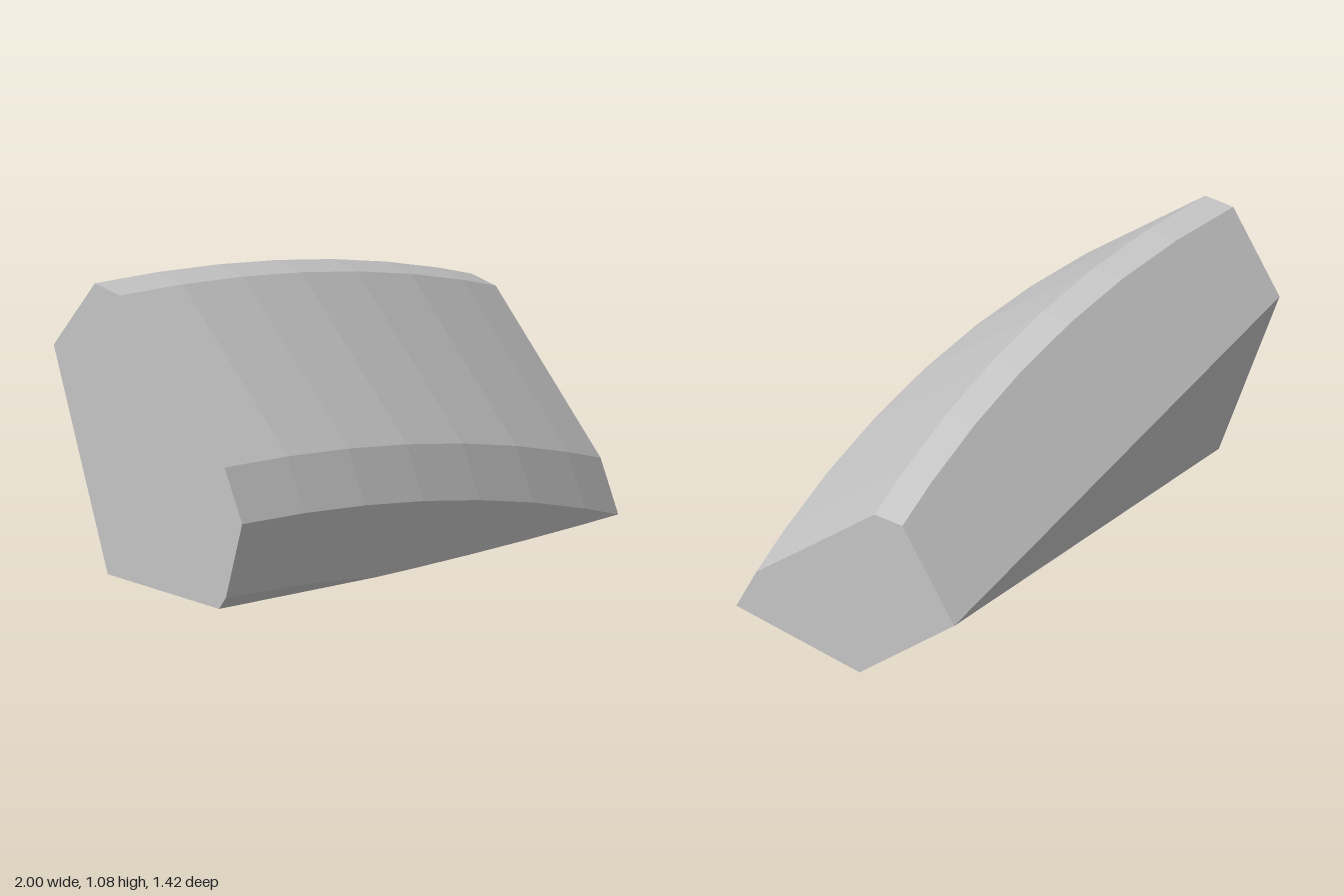
import * as THREE from 'three';

// Cross-section at the x = -1 end as [z, y], from top back edge round to the lower front
const PROFILE = [[-0.145, 1.083], [0, 1.066], [0.612, 0.54], [0.715, 0.347]];
const LOW = [0.62, 0.05], TOE = [0.58, 0];
const DROP = 0.347, RETREAT = 0.297; // how far the section has sunk and moved back at x = 1

const lerp = THREE.MathUtils.lerp;
const bend = x => ((x + 1) / 2) ** 2;

// Closed ring of points at one station; the base is trimmed at y = 0
function ring(x, s) {
  const at = ([z, y]) => new THREE.Vector3(x, Math.max(0, y - DROP * s), z - RETREAT * s);
  const t = (x + 1) / 2;
  const h = DROP * s; // ground height in profile coordinates
  const front = PROFILE[3];
  const cut = h < LOW[1]
    ? [lerp(TOE[0], LOW[0], h / LOW[1]), h]
    : [lerp(LOW[0], front[0], (h - LOW[1]) / (front[1] - LOW[1])), h];
  const back = new THREE.Vector3(x, lerp(0.803, 0.423, t), lerp(-0.385, -0.71, t));
  const heel = new THREE.Vector3(x, 0, lerp(-0.07, -0.22, t));
  return [back, ...PROFILE.map(at), at(h < LOW[1] ? LOW : cut), at(cut), heel];
}

function surface(name, material, triangles) {
  const geometry = new THREE.BufferGeometry().setFromPoints(triangles);
  geometry.computeVertexNormals();
  const mesh = new THREE.Mesh(geometry, material);
  mesh.name = name;
  return mesh;
}

export function createModel() {
  const group = new THREE.Group();
  group.name = 'curvedBlock';
  const grey = new THREE.MeshStandardMaterial({ color: 0xc4c4c4, flatShading: true });
  grey.name = 'light grey';

  // Stations along x, with an extra one where the lowest front facet runs out
  const stations = [-1, -0.7, -0.4, -0.1, 0.2, 0.5, 0.8, 1].map(x => [x, bend(x)]);
  const sOut = LOW[1] / DROP;
  const xOut = -0.4 + 0.3 * (sOut - bend(-0.4)) / (bend(-0.1) - bend(-0.4));
  stations.splice(3, 0, [xOut, sOut]);
  const rings = stations.map(([x, s]) => ring(x, s));

  // Curved strips running the length of the block
  const names = ['upperBack', 'topBevel', 'frontSlope', 'frontBevel', 'lowerFront', 'toeBevel', 'base'];
  names.forEach((name, k) => {
    const tris = [];
    for (let i = 0; i < rings.length - 1; i++) {
      const [a, b, c, d] = [rings[i][k], rings[i][k + 1], rings[i + 1][k + 1], rings[i + 1][k]];
      for (const tri of [[a, b, c], [a, c, d]]) {
        const area = new THREE.Triangle(...tri).getArea();
        if (area > 1e-7) tris.push(...tri);
      }
    }
    group.add(surface(name, grey, tris));
  });

  // Lower back, folded along one diagonal
  const first = rings[0], last = rings[rings.length - 1];
  const [b0, a0, b1, a1] = [first[0], first[7], last[0], last[7]];
  group.add(surface('lowerBack', grey, [a0, b0, b1, a0, b1, a1]));

  // Flat ends
  const cap = (name, points) => {
    const tris = [];
    for (let i = 1; i < points.length - 1; i++) {
      if (new THREE.Triangle(points[0], points[i], points[i + 1]).getArea() > 1e-7)
        tris.push(points[0], points[i], points[i + 1]);
    }
    group.add(surface(name, grey, tris));
  };
  cap('leftEnd', last);
  cap('rightEnd', [...first].reverse());
  return group;
}
